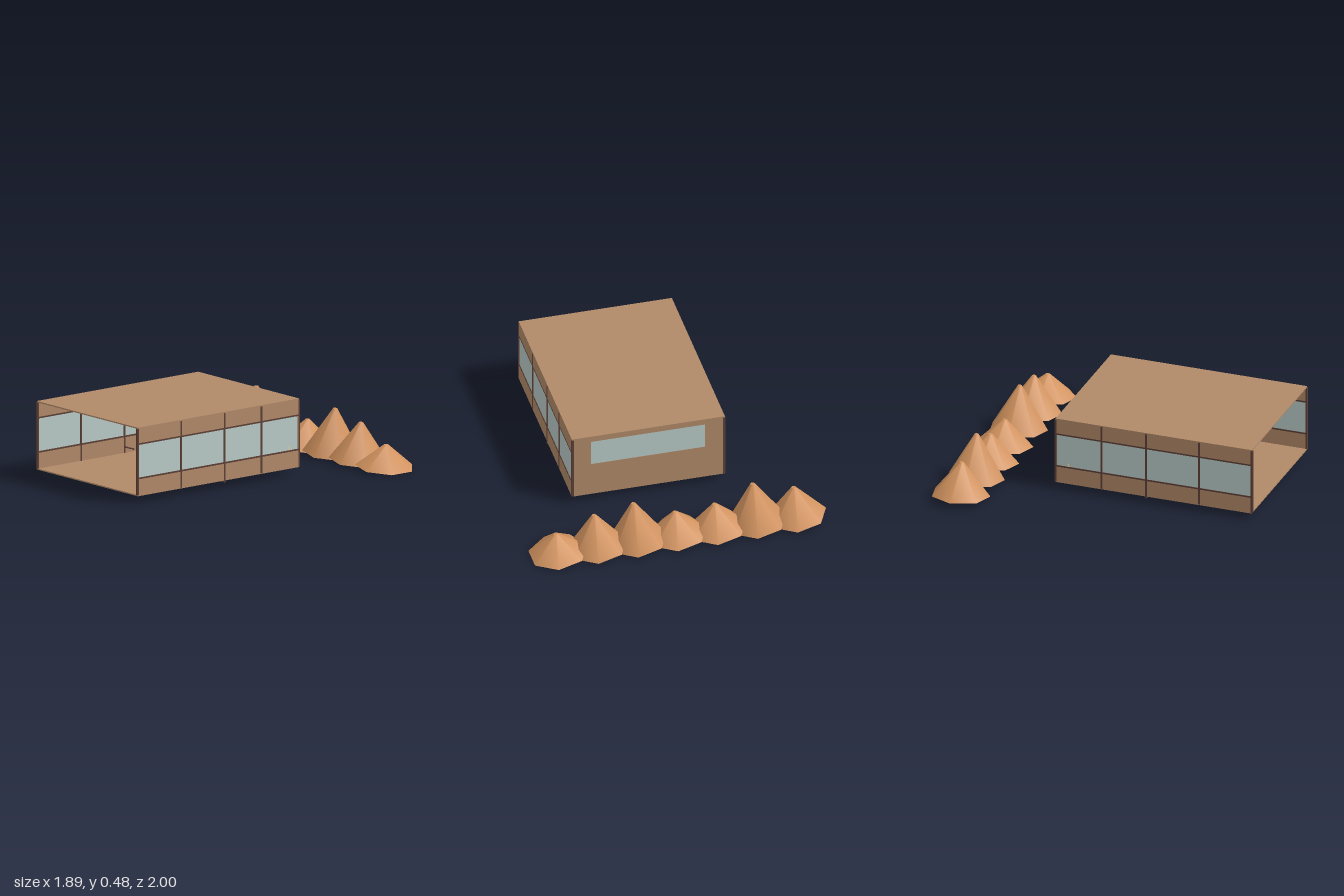
import * as THREE from 'three';

const mat = (name, color, side = THREE.FrontSide) => {
  const m = new THREE.MeshStandardMaterial({ color, side });
  m.name = name;
  return m;
};

export function createModel() {
  const wall = mat('tan wall', 0xb08968);
  const trim = mat('dark brown trim', 0x5d4037);
  const wood = mat('reddish wood', 0x6d4c41);
  const glass = mat('pale glass', 0xb9cbc7);
  const cream = mat('cream', 0xd8c9a0, THREE.DoubleSide);
  const rock = mat('orange rock', 0xd2935f);
  const root = new THREE.Group();

  const add = (parent, name, geo, material, x = 0, y = 0, z = 0) => {
    const mesh = new THREE.Mesh(geo, material);
    mesh.name = name;
    mesh.position.set(x, y, z);
    parent.add(mesh);
    return mesh;
  };
  // Box given by its minimum and maximum corners
  const span = (parent, name, material, x0, x1, y0, y1, z0, z1) =>
    add(parent, name, new THREE.BoxGeometry(x1 - x0, y1 - y0, z1 - z0), material,
      (x0 + x1) / 2, (y0 + y1) / 2, (z0 + z1) / 2);

  // Room shell, open at the front
  const L = -0.433, R = 0.553, B = -0.31, F = 0.995, T = 0.01;
  const cx = (L + R) / 2;
  const room = new THREE.Group();
  room.name = 'room';
  root.add(room);
  span(room, 'floor', wall, L, R, 0.052, 0.06, B, F);
  span(room, 'roof', wall, L, R, 0.482, 0.49, B, F);

  // Back wall with a window opening
  const W = { x0: -0.305, x1: 0.428, y0: 0.28, y1: 0.45 };
  const rect = (path, x0, x1, y0, y1) =>
    path.moveTo(x0, y0).lineTo(x1, y0).lineTo(x1, y1).lineTo(x0, y1).closePath();
  const backShape = rect(new THREE.Shape(), L, R, 0.055, 0.488);
  backShape.holes.push(rect(new THREE.Path(), W.x0, W.x1, W.y0, W.y1));
  add(room, 'backWall', new THREE.ExtrudeGeometry(backShape, { depth: T, bevelEnabled: false }),
    wall, 0, 0, B);
  span(room, 'backGlass', glass, W.x0, W.x1, W.y0, W.y1, B + 0.001, B + 0.008);
  for (const y of [W.y0, W.y1])
    span(room, 'backWindowRail', trim, W.x0 - 0.004, W.x1 + 0.004, y - 0.004, y + 0.004, B + 0.003, B + 0.016);
  for (const x of [W.x0, W.x1])
    span(room, 'backWindowStile', trim, x - 0.004, x + 0.004, W.y0, W.y1, B + 0.003, B + 0.016);

  // Side walls with a continuous strip of glass, rails and posts
  for (const [name, x] of [['right', L], ['left', R - T]]) {
    span(room, name + 'LowerPanel', wall, x, x + T, 0.055, 0.165, B, F);
    span(room, name + 'UpperPanel', wall, x, x + T, 0.385, 0.488, B, F);
    span(room, name + 'Glass', glass, x + 0.002, x + T - 0.002, 0.165, 0.385, B, F);
    for (const y of [0.165, 0.384])
      span(room, name + 'Rail', trim, x - 0.001, x + T + 0.001, y - 0.005, y + 0.005, B, F);
    for (const z of [0.994, 0.645, 0.293, -0.005, -0.309])
      span(room, name + 'Post', trim, x - 0.003, x + T + 0.003, z === 0.293 ? 0.045 : 0.057, 0.483,
        z - 0.006, z + 0.006);
  }
  span(room, 'floorBeam', trim, L - 0.003, R + 0.003, 0.041, 0.052, 0.287, 0.299);

  // Three arched tubes along the back, each with a small lamp
  for (let i = -1; i <= 1; i++) {
    const x = cx + i * 0.327;
    add(root, 'arch', new THREE.TorusGeometry(0.149, 0.0175, 12, 32, Math.PI), cream, x, 0.17, -0.228);
    span(root, 'lampBar', cream, x - 0.045, x + 0.045, 0.275, 0.284, -0.3, -0.28);
    add(root, 'lampShade', new THREE.CylinderGeometry(0.018, 0.01, 0.02, 12), cream, x, 0.267, -0.28);
  }
  // Small wall brackets beside the window
  for (const x of [-0.333, 0.447])
    span(root, 'bracket', cream, x - 0.006, x + 0.006, 0.325, 0.365, B + T, B + 0.022);

  // Pedestal stool, benches and table
  span(root, 'stoolTop', wood, -0.307, -0.228, 0.216, 0.24, -0.2, -0.14);
  add(root, 'stoolStem', new THREE.CylinderGeometry(0.006, 0.006, 0.05, 8), cream, -0.267, 0.192, -0.17);
  for (const x of [-0.267, 0.383])
    span(root, 'bench', wood, x - 0.09, x + 0.09, 0.077, 0.103, -0.1, 0);
  span(root, 'tableBody', wood, -0.035, 0.15, 0.06, 0.1, 0.08, 0.18);
  span(root, 'tableTop', trim, -0.05, 0.168, 0.1, 0.106, 0.07, 0.19);
  for (const x of [-0.043, 0.16])
    span(root, 'tableLeg', wood, x - 0.006, x + 0.006, 0.056, 0.1, 0.075, 0.185);
  span(root, 'tableFoot', trim, -0.03, 0.02, 0.048, 0.053, 0.115, 0.13);
  for (let i = 0; i < 4; i++)
    span(root, 'smallBar', trim, -0.308 + i * 0.024, -0.292 + i * 0.024, 0.128, 0.135, 0.38, 0.39);

  // Row of leaning seven-sided peaks behind the room
  const tops = [0.245, 0.32, 0.21, 0.195, 0.31, 0.265, 0.165];
  tops.forEach((top, i) => {
    const base = 0.03 - i * 0.0012, h = top - base;
    const geo = new THREE.CylinderGeometry(0.014, 0.188, h, 7, 1, false, -Math.PI / 2);
    geo.translate(0, h / 2, 0);
    const peak = add(root, 'peak', geo, rock, -0.763 + i * 0.2565, base, -0.818);
    peak.rotation.z = -0.1;
  });
  return root;
}
